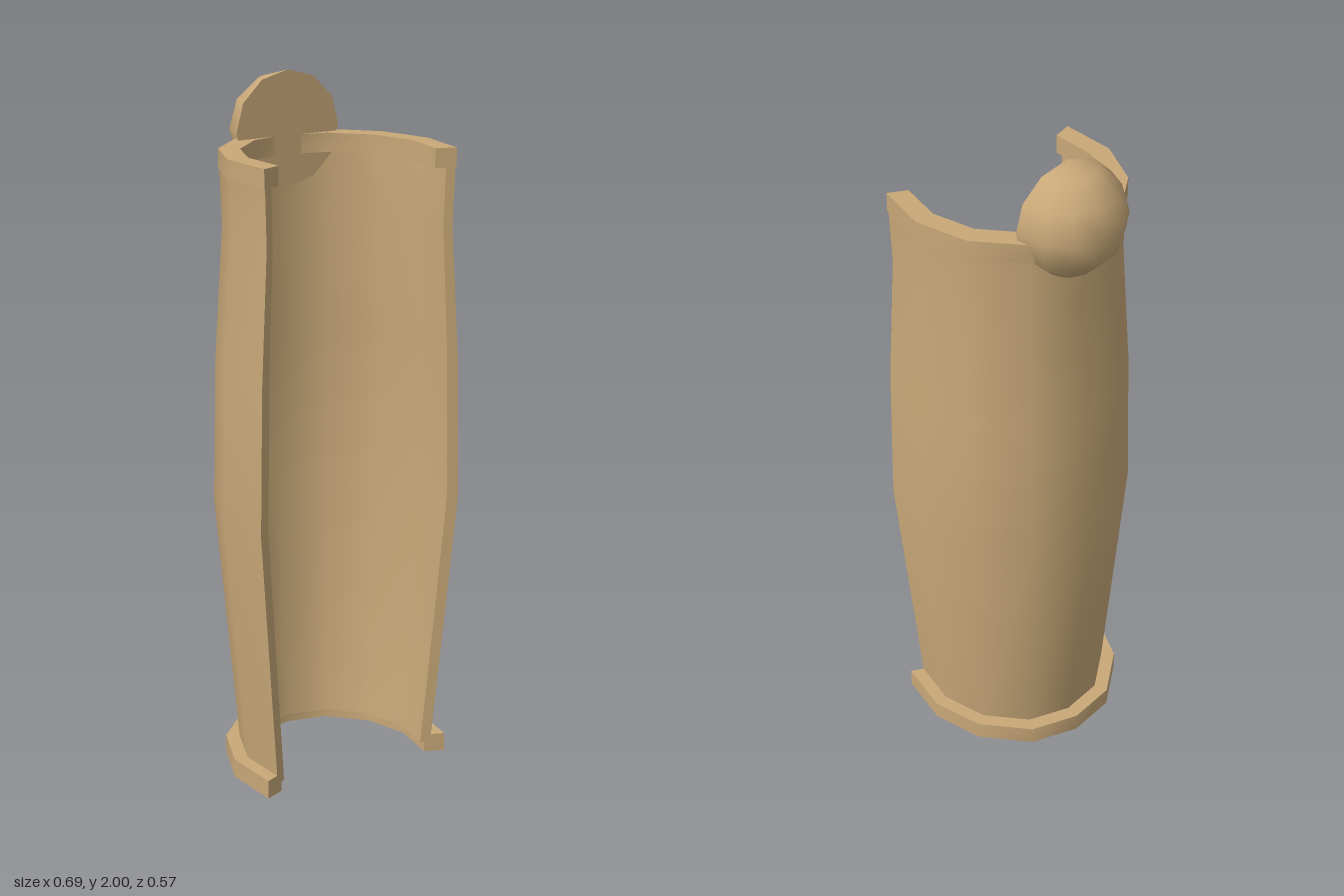
import * as THREE from 'three';
import { toCreasedNormals } from 'three/addons/utils/BufferGeometryUtils.js';

// Half of the open horseshoe plan, as factors of the radius, from the left front end to the back
const CENTER_Z = 0.152;
const HALF_PLAN = [[0.942, 0.386], [0.995, -0.136], [0.826, -0.614], [0.452, -0.977], [0, -1.084]];
const PLAN = [...HALF_PLAN, ...HALF_PLAN.slice(0, -1).reverse().map(([x, z]) => [-x, z])];

// Thick open wall; rows run upward as [y, inner radius, outer radius]
function openWall(rows) {
  const loop = [
    ...rows.map(([y, , outer]) => [outer, y]),
    ...rows.slice().reverse().map(([y, inner]) => [inner, y]),
  ];
  const positions = [];
  const point = (i, j) => {
    const [r, y] = loop[j % loop.length];
    return [PLAN[i][0] * r, y, CENTER_Z + PLAN[i][1] * r];
  };
  const quad = (a, b, c, d) => positions.push(...a, ...b, ...c, ...a, ...c, ...d);

  // Outer, top, inner and bottom faces
  for (let i = 0; i < PLAN.length - 1; i++) {
    for (let j = 0; j < loop.length; j++) {
      quad(point(i, j), point(i + 1, j), point(i + 1, j + 1), point(i, j + 1));
    }
  }
  // Cut faces at the two front ends
  const last = PLAN.length - 1;
  for (let k = 0; k < rows.length - 1; k++) {
    const m = loop.length - 1 - k;
    quad(point(0, m), point(0, k), point(0, k + 1), point(0, m - 1));
    quad(point(last, k), point(last, m), point(last, m - 1), point(last, k + 1));
  }
  const geometry = new THREE.BufferGeometry();
  geometry.setAttribute('position', new THREE.Float32BufferAttribute(positions, 3));
  return toCreasedNormals(geometry, 0.75);
}

export function createModel() {
  const model = new THREE.Group();
  model.name = 'openGuard';
  const material = new THREE.MeshStandardMaterial({ color: 0xc8a878 });
  const add = (name, geometry, parent = model) => {
    const mesh = new THREE.Mesh(geometry, material);
    mesh.name = name;
    parent.add(mesh);
    return mesh;
  };

  // Bulging main shell
  add('shell', openWall([
    [0.03, 0.249, 0.278],
    [0.8, 0.313, 0.345],
    [1.22, 0.306, 0.336],
    [1.6, 0.288, 0.313],
    [1.76, 0.292, 0.318],
  ]));

  // Rims at both ends
  add('bottomRim', openWall([[0, 0.261, 0.32], [0.055, 0.261, 0.32]]));
  add('topRim', openWall([[1.76, 0.262, 0.321], [1.815, 0.262, 0.321]]));

  // Half ball on the back of the top rim, flat side to the front
  const knob = new THREE.Group();
  knob.name = 'knob';
  knob.position.set(0, 1.835, -0.122);
  add('knobDome', new THREE.SphereGeometry(0.165, 6, 6, Math.PI, Math.PI), knob);
  add('knobFace', new THREE.CircleGeometry(0.165, 12), knob);
  model.add(knob);

  return model;
}
